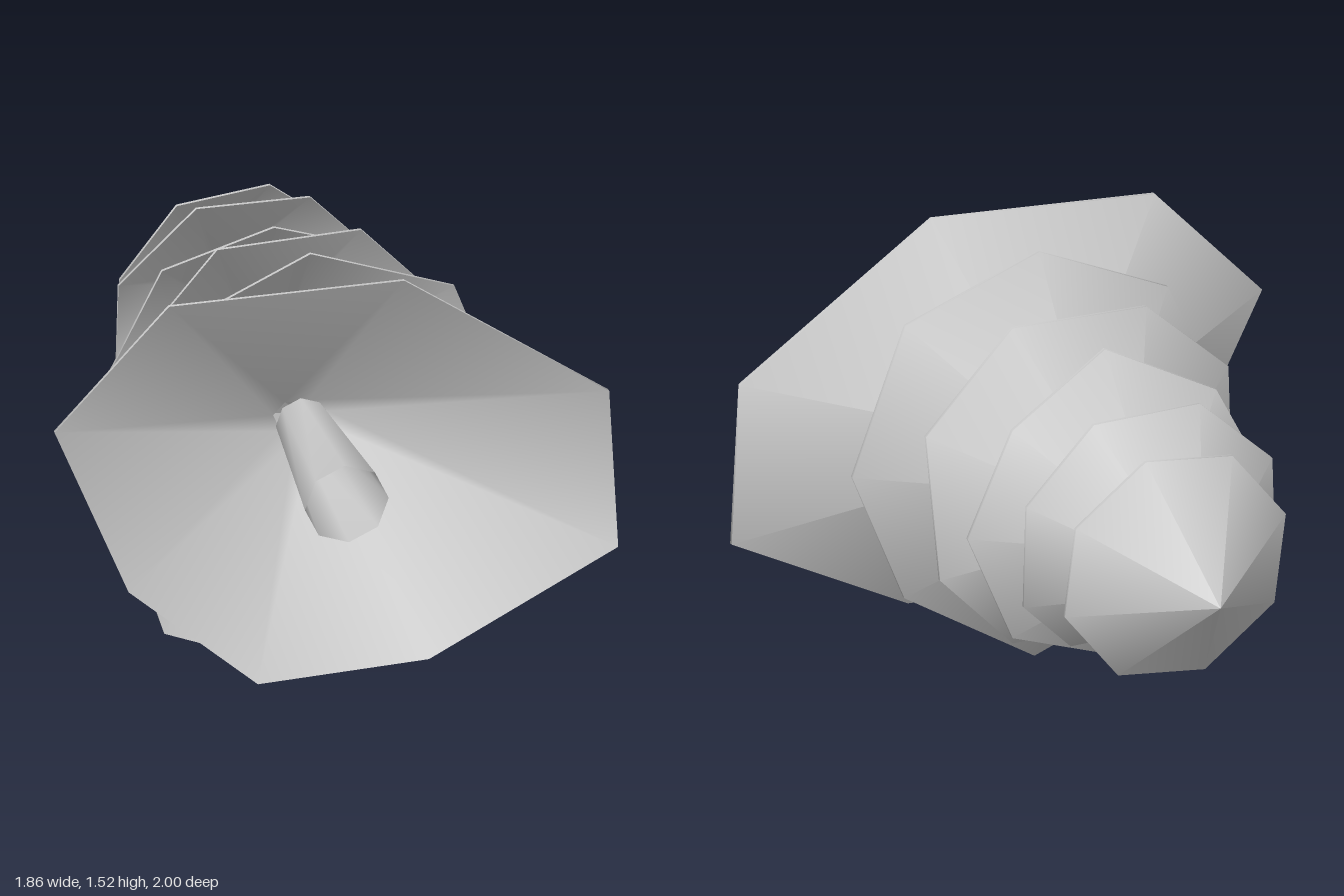
import * as THREE from 'three';
import { mergeGeometries } from 'three/addons/utils/BufferGeometryUtils.js';

// Smooth band joining two closed rows of points
function strip(rowA, rowB) {
  const n = rowA.length, index = [];
  for (let i = 0; i < n; i++) {
    const j = (i + 1) % n;
    index.push(i, n + i, j, j, n + i, n + j);
  }
  const g = new THREE.BufferGeometry().setFromPoints([...rowA, ...rowB]);
  g.setIndex(index);
  g.computeVertexNormals();
  return g;
}

// Hollow cone of branches: outer slope, thin rim and open underside
function tierGeometry(rim, apex) {
  const thickness = new THREE.Vector3(0, 0, 0.012);
  const under = rim.map((p) => p.clone().add(thickness));
  const tip = rim.map(() => apex.clone());
  const collar = under.map((p) => p.clone().lerp(apex, 0.9).add(thickness));
  return mergeGeometries([strip(rim, tip), strip(under, rim), strip(collar, under)]);
}

// Ring of points at equal angles
function ring(x, y, z, r, start) {
  return Array.from({ length: 8 }, (_, i) => {
    const a = start + (i * Math.PI) / 4;
    return [x + r * Math.cos(a), y + r * Math.sin(a), z];
  });
}

// Uneven rims, counter-clockwise seen from the trunk end
const tiers = [
  { name: 'lowestBranches', apex: [-0.03, 0.84, 0.25], rim: [
    [0.93, 0.48, 0.73], [0.9, 1.05, 0.73], [0.22, 1.52, 0.715], [-0.55, 1.48, 0.65],
    [-0.93, 1.06, 0.64], [-0.7, 0.49, 0.715], [-0.27, 0.11, 0.72], [0.3, 0.14, 0.725]] },
  { name: 'lowerBranches', apex: [-0.03, 0.81, -0.07], rim: [
    [0.65, 0.81, 0.4], [0.46, 1.32, 0.4], [-0.02, 1.49, 0.4], [-0.48, 1.27, 0.4],
    [-0.7, 0.77, 0.4], [-0.52, 0.19, 0.45], [-0.03, 0, 0.46], [0.45, 0.32, 0.43]] },
  { name: 'lowerMiddleBranches', apex: [-0.03, 0.82, -0.33], rim: [
    [0.54, 0.61, -0.04], [0.53, 1.07, 0.09], [0.22, 1.4, 0.09], [-0.26, 1.38, 0.09],
    [-0.6, 1.05, 0.19], [-0.57, 0.57, 0.09], [-0.25, 0.25, 0.09], [0.22, 0.26, 0.09]] },
  { name: 'upperMiddleBranches', apex: [-0.03, 0.82, -0.56], rim: [
    [0.51, 0.82, -0.19], [0.35, 1.18, -0.19], [-0.03, 1.35, -0.085], [-0.38, 1.18, -0.19],
    [-0.56, 0.82, -0.19], [-0.4, 0.43, -0.19], [-0.03, 0.285, -0.18], [0.35, 0.43, -0.19]] },
  { name: 'upperBranches', apex: [-0.03, 0.82, -0.85], rim: [
    [0.42, 0.66, -0.43], [0.41, 1.02, -0.43], [0.17, 1.27, -0.43], [-0.21, 1.27, -0.43],
    [-0.47, 1.02, -0.43], [-0.48, 0.65, -0.43], [-0.22, 0.39, -0.25], [0.17, 0.39, -0.25]] },
  { name: 'treetop', apex: [-0.02, 0.82, -1], rim: ring(-0.02, 0.82, -0.65, 0.41, -Math.PI / 12) },
];

export function createModel() {
  const group = new THREE.Group();
  group.name = 'fallenFirTree';
  const material = new THREE.MeshStandardMaterial({ color: 0xcccccc, side: THREE.DoubleSide });
  const add = (name, geometry) => {
    const mesh = new THREE.Mesh(geometry, material);
    mesh.name = name;
    group.add(mesh);
  };

  for (const { name, apex, rim } of tiers) {
    add(name, tierGeometry(rim.map((p) => new THREE.Vector3(...p)), new THREE.Vector3(...apex)));
  }

  // Open, tapered trunk running into the lowest branches
  const toVectors = (points) => points.map((p) => new THREE.Vector3(...p));
  const base = toVectors(ring(-0.035, 0.87, 1, 0.14, 0.05));
  const top = toVectors(ring(-0.03, 0.84, 0.33, 0.088, 0.05));
  add('trunk', strip(base, top));

  return group;
}
